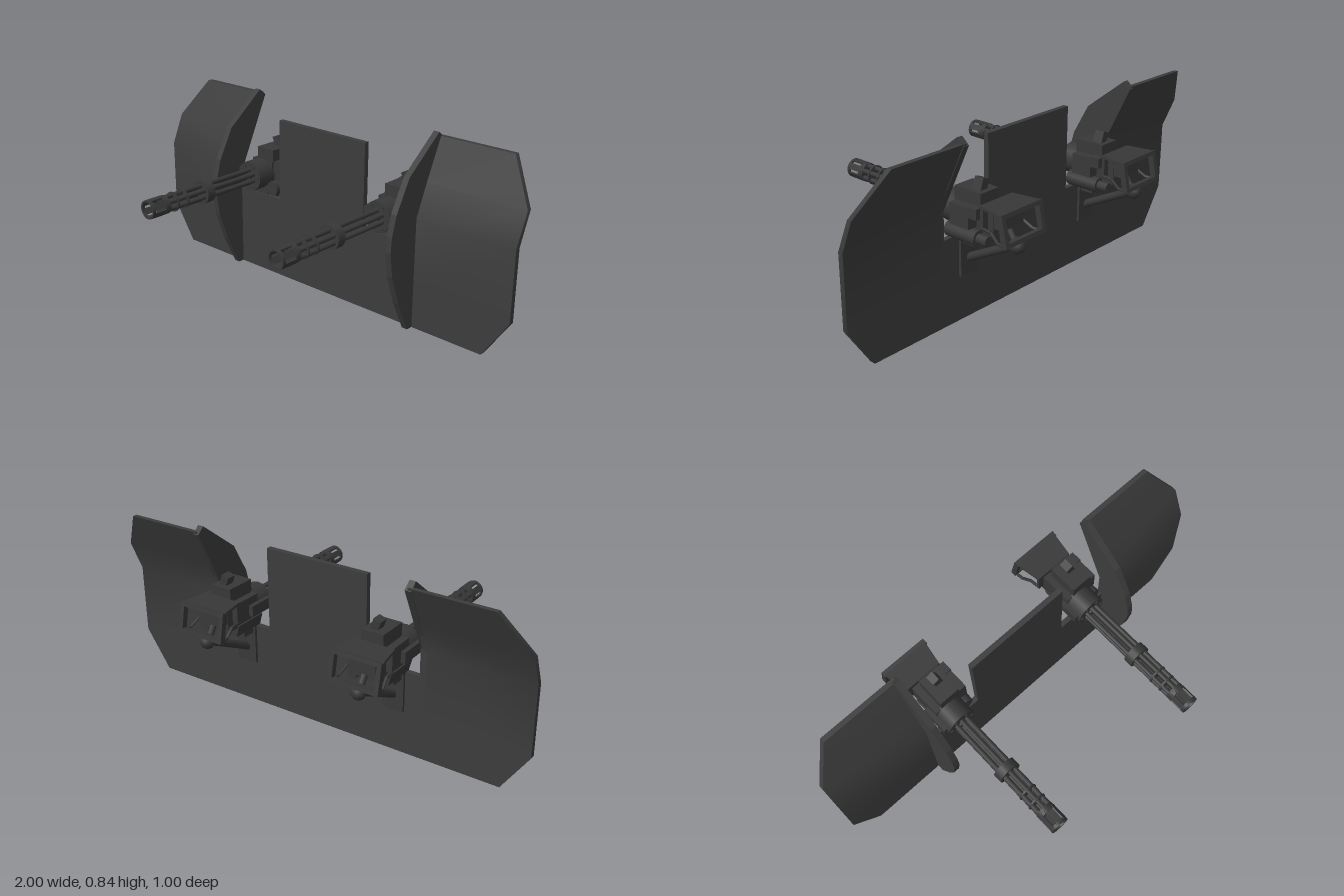
import * as THREE from 'three';
import { toCreasedNormals } from 'three/addons/utils/BufferGeometryUtils.js';

const shieldPaint = new THREE.MeshStandardMaterial({ color: 0x3c3c3c });
shieldPaint.name = 'shield dark grey';
const gunMetal = new THREE.MeshStandardMaterial({ color: 0x383838 });
gunMetal.name = 'gun dark grey';

function add(parent, name, geometry, material = gunMetal) {
  const mesh = new THREE.Mesh(geometry, material);
  mesh.name = name;
  parent.add(mesh);
  return mesh;
}

function box(parent, name, w, h, d, x, y, z) {
  const m = add(parent, name, new THREE.BoxGeometry(w, h, d));
  m.position.set(x, y, z);
  return m;
}

// Cylinder lying along z, from z0 to z1
function barrelZ(parent, name, r, z0, z1, x, y, sides = 12) {
  const g = new THREE.CylinderGeometry(r, r, Math.abs(z1 - z0), sides).rotateX(Math.PI / 2);
  const m = add(parent, name, g);
  m.position.set(x, y, (z0 + z1) / 2);
  return m;
}

// Round rod between two points
function rod(parent, name, a, b, r, sides = 10) {
  const p = new THREE.Vector3(...a), q = new THREE.Vector3(...b);
  const m = add(parent, name, new THREE.CylinderGeometry(r, r, p.distanceTo(q), sides));
  m.position.copy(p).add(q).multiplyScalar(0.5);
  m.quaternion.setFromUnitVectors(new THREE.Vector3(0, 1, 0), q.sub(p).normalize());
  return m;
}

function shapeOf(points) {
  return new THREE.Shape(points.map(([x, y]) => new THREE.Vector2(x, y)));
}

function extrude(points, depth) {
  return new THREE.ExtrudeGeometry(shapeOf(points), { depth, bevelEnabled: false });
}

// Side wing: rows of [y, outer x, front z], leaning back above the bend
function wingGeometry(side) {
  const rows = [[0, 0.88, -0.165], [0.18, 1, -0.165], [0.5, 1, -0.165],
    [0.64, 1, -0.225], [0.82, 0.88, -0.308]];
  const inner = 0.515, pos = [], index = [];
  for (const [y, outer, z] of rows) {
    const back = y > 0.6 ? 0.022 : 0.024;
    pos.push(side * inner, y, z, side * outer, y, z,
      side * outer, y, z - back, side * inner, y, z - back);
  }
  const quad = (a, b, c, d) => (side > 0
    ? index.push(a, b, c, a, c, d) : index.push(a, c, b, a, d, c));
  for (let i = 0; i < rows.length - 1; i++) {
    for (let k = 0; k < 4; k++) {
      const n = (k + 1) % 4;
      quad(i * 4 + k, i * 4 + n, i * 4 + 4 + n, i * 4 + 4 + k);
    }
  }
  const t = (rows.length - 1) * 4;
  quad(t, t + 1, t + 2, t + 3);
  quad(3, 2, 1, 0);
  const g = new THREE.BufferGeometry();
  g.setAttribute('position', new THREE.Float32BufferAttribute(pos, 3));
  g.setIndex(index);
  return toCreasedNormals(g, 0.7);
}

function createShield() {
  const shield = new THREE.Group();
  shield.name = 'shield';

  // Centre plate with a notch for each gun
  const centre = extrude([[-0.52, 0], [0.52, 0], [0.52, 0.383], [0.25, 0.383],
    [0.25, 0.763], [-0.25, 0.763], [-0.25, 0.383], [-0.52, 0.383]], 0.024);
  add(shield, 'centrePlate', centre, shieldPaint).position.z = -0.189;

  // Curved fin outline as [-z, y]
  const fin = [[0.135, 0], [0.189, 0], [0.189, 0.51], [0.33, 0.81], [0.295, 0.84],
    [0.105, 0.69], [0.03, 0.55], [0.005, 0.46], [0, 0.39], [0.017, 0.28], [0.065, 0.145]];
  for (const side of [-1, 1]) {
    const label = side > 0 ? 'left' : 'right';
    add(shield, label + 'Wing', wingGeometry(side), shieldPaint);
    const g = extrude(fin, 0.028).rotateY(Math.PI / 2);
    add(shield, label + 'Fin', g, shieldPaint).position.x = side * 0.517 - 0.014;
  }
  return shield;
}

function createGun() {
  const gun = new THREE.Group();
  gun.name = 'rotaryGun';
  const Y = 0.48;

  // Barrel cluster
  for (let i = 0; i < 6; i++) {
    const a = (i / 6) * Math.PI * 2 + Math.PI / 6;
    barrelZ(gun, 'barrel', 0.0105, -0.12, 0.42, Math.cos(a) * 0.031, Y + Math.sin(a) * 0.031, 10);
  }
  for (const z of [0.36, 0.305]) barrelZ(gun, 'barrelBand', 0.044, z - 0.004, z + 0.004, 0, Y, 18);
  barrelZ(gun, 'barrelCollar', 0.053, 0.157, 0.198, 0, Y, 18);

  // Slotted muzzle clamp: two hoops joined by six slats
  barrelZ(gun, 'muzzleBase', 0.042, 0.402, 0.415, 0, Y, 18);
  const hoop = new THREE.Shape().absarc(0, 0, 0.042, 0, Math.PI * 2);
  hoop.holes.push(new THREE.Path().absarc(0, 0, 0.034, 0, Math.PI * 2, true));
  const hoopGeo = new THREE.ExtrudeGeometry(hoop, { depth: 0.014, bevelEnabled: false, curveSegments: 18 });
  for (const z of [0.415, 0.486]) add(gun, 'muzzleHoop', hoopGeo).position.set(0, Y, z);
  for (let i = 0; i < 6; i++) {
    const a = ((i + 0.5) / 6) * Math.PI * 2;
    const s = box(gun, 'muzzleSlat', 0.007, 0.028, 0.075, Math.cos(a) * 0.037, Y + Math.sin(a) * 0.037, 0.455);
    s.rotation.z = a;
  }

  // Receiver with round front housing
  barrelZ(gun, 'frontHousing', 0.07, -0.2, -0.105, 0, Y, 14);
  barrelZ(gun, 'housingHub', 0.018, -0.11, -0.095, 0, Y, 10);
  for (let i = 0; i < 6; i++) {
    const a = (i / 6) * Math.PI * 2;
    barrelZ(gun, 'housingBolt', 0.008, -0.11, -0.099, Math.cos(a) * 0.055, Y + Math.sin(a) * 0.055, 6);
  }
  box(gun, 'receiver', 0.125, 0.11, 0.2, 0, 0.485, -0.29);
  box(gun, 'feedCover', 0.1, 0.06, 0.14, 0.02, 0.57, -0.26);
  box(gun, 'sideFeed', 0.06, 0.09, 0.1, 0.08, 0.5, -0.25);
  box(gun, 'sideBracket', 0.022, 0.05, 0.13, -0.072, 0.48, -0.185);
  box(gun, 'sideBlock', 0.035, 0.045, 0.05, 0.095, 0.53, -0.32);
  const sight = box(gun, 'sightPost', 0.035, 0.085, 0.045, 0.028, 0.602, -0.285);
  sight.rotation.z = 0.35;
  barrelZ(gun, 'driveMotor', 0.034, -0.33, -0.17, 0.08, 0.42, 12);
  barrelZ(gun, 'motorCap', 0.022, -0.38, -0.33, 0.08, 0.42, 10);

  // Cradle beneath the receiver
  const cradle = extrude([[-0.055, 0.385], [0.055, 0.385], [0.07, 0.44], [-0.07, 0.44]], 0.16);
  add(gun, 'cradle', cradle).position.z = -0.33;
  box(gun, 'cradleFoot', 0.08, 0.05, 0.065, 0, 0.375, -0.23);

  // Open rear handle shroud
  const frame = shapeOf([[-0.115, -0.066], [0.115, -0.066], [0.115, 0.066], [-0.115, 0.066]]);
  frame.holes.push(new THREE.Path([[-0.095, -0.048], [-0.095, 0.048], [0.095, 0.048], [0.095, -0.048]]
    .map(([x, y]) => new THREE.Vector2(x, y))));
  const frameGeo = new THREE.ExtrudeGeometry(frame, { depth: 0.026, bevelEnabled: false }).translate(0, 0, -0.013);
  const rear = add(gun, 'rearFrame', frameGeo);
  rear.position.set(0, 0.5, -0.478);
  rear.rotation.x = 0.2;
  const roof = extrude([[-0.092, 0.345], [0.092, 0.345], [0.114, 0.475], [-0.114, 0.475]], 0.012);
  add(gun, 'shroudRoof', roof.rotateX(-Math.PI / 2)).position.y = 0.552;
  box(gun, 'shroudFront', 0.18, 0.095, 0.014, 0, 0.512, -0.353);
  box(gun, 'controlBox', 0.12, 0.08, 0.075, 0, 0.512, -0.395);
  for (const s of [-1, 1]) {
    rod(gun, 'shroudStrut', [s * 0.085, 0.47, -0.35], [s * 0.09, 0.468, -0.4], 0.007, 6);
    rod(gun, 'shroudStrut', [s * 0.09, 0.468, -0.4], [s * 0.1, 0.44, -0.445], 0.007, 6);
    rod(gun, 'shroudStrut', [s * 0.1, 0.44, -0.445], [s * 0.105, 0.44, -0.485], 0.007, 6);
  }

  // Support arm from the shield to the rear joint
  box(gun, 'mountPlate', 0.1, 0.2, 0.014, 0, 0.3, -0.194);
  rod(gun, 'supportArm', [0, 0.268, -0.19], [0, 0.405, -0.455], 0.018, 12);
  add(gun, 'armJoint', new THREE.SphereGeometry(0.034, 10, 8)).position.set(0, 0.403, -0.456);
  rod(gun, 'jointPost', [0, 0.403, -0.45], [0, 0.48, -0.4], 0.014, 8);
  return gun;
}

export function createModel() {
  const model = new THREE.Group();
  model.name = 'twinGunShield';
  model.add(createShield());
  for (const x of [-0.387, 0.373]) {
    const gun = createGun();
    gun.position.x = x;
    model.add(gun);
  }
  return model;
}
